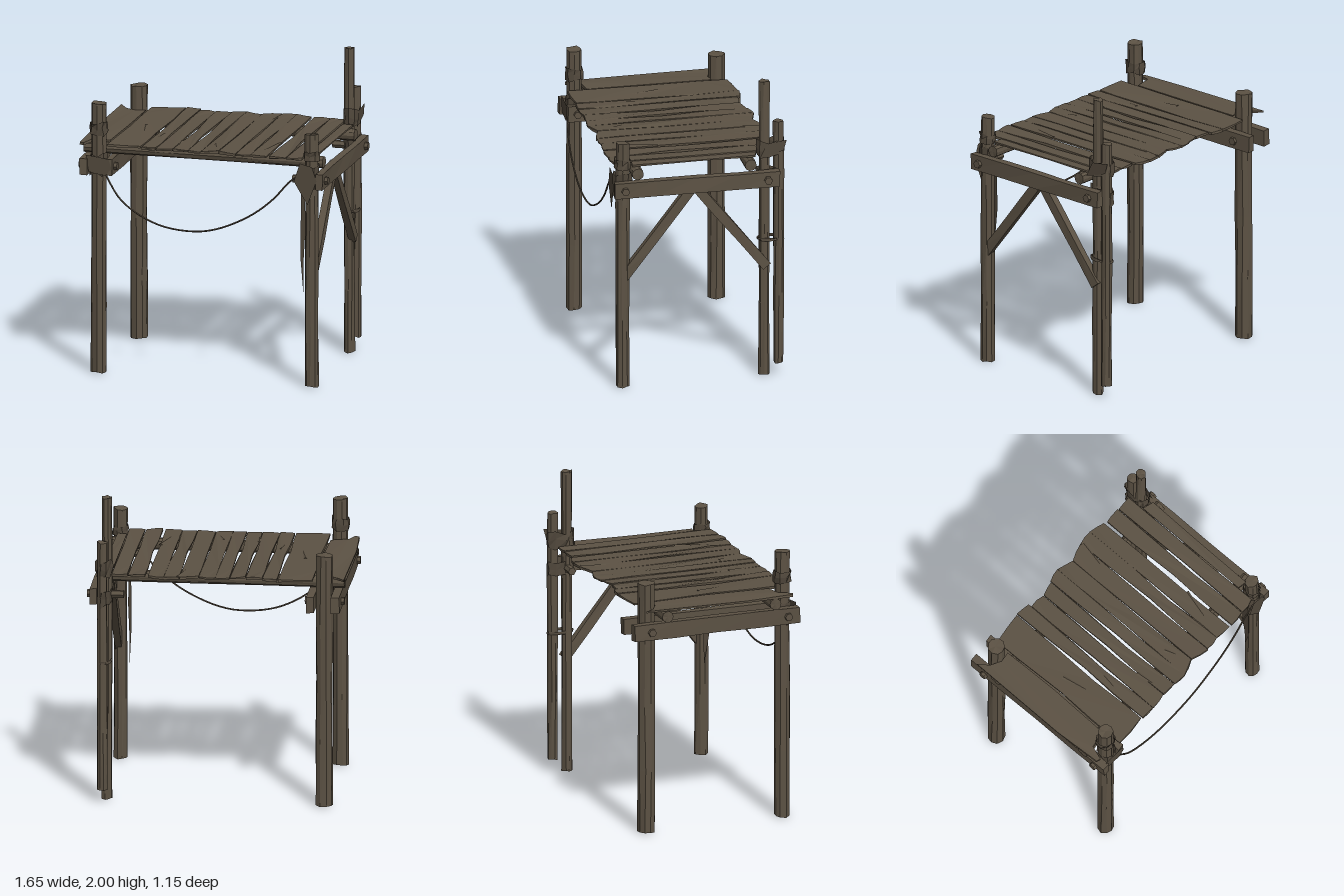
import * as THREE from 'three';

const wood = new THREE.MeshStandardMaterial({ color: 0x5c5244, flatShading: true });
const cloth = new THREE.MeshStandardMaterial({ color: 0x51483c, flatShading: true, side: THREE.DoubleSide });

// Repeatable noise in -1..1 that depends only on position, so shared corners stay joined
function noise(x, y, z, seed) {
  const r = (n) => Math.round(n * 1000);
  const s = Math.sin(r(x) * 12.9898 + r(y) * 78.233 + r(z) * 37.719 + seed * 91.7) * 43758.5453;
  return (s - Math.floor(s)) * 2 - 1;
}

// Roughen a geometry by moving its corners
function roughen(geo, ax, ay, az, seed) {
  const p = geo.attributes.position;
  for (let i = 0; i < p.count; i++) {
    const x = p.getX(i), y = p.getY(i), z = p.getZ(i);
    p.setXYZ(i, x + ax * noise(x, y, z, seed), y + ay * noise(x, y, z, seed + 1), z + az * noise(x, y, z, seed + 2));
  }
  geo.computeVertexNormals();
  return geo;
}

export function createModel() {
  const group = new THREE.Group();
  const add = (name, geo, x = 0, y = 0, z = 0, mat = wood) => {
    const m = new THREE.Mesh(geo, mat);
    m.name = name;
    m.position.set(x, y, z);
    group.add(m);
    return m;
  };

  // Rough upright posts: x, z, bottom, top, radius
  [
    ['frontRightPost', -0.69, 0.49, 0.01, 1.77, 0.049],
    ['backRightPost', -0.69, -0.435, 0.01, 1.66, 0.054],
    ['frontLeftPost', 0.715, 0.49, 0.01, 1.66, 0.043],
    ['backLeftPost', 0.70, -0.435, 0.01, 2.0, 0.034],
    ['backLeftSecondPost', 0.72, -0.525, 0.09, 1.73, 0.033],
  ].forEach(([name, x, z, y0, y1, r], i) => {
    const geo = new THREE.CylinderGeometry(r, r * 1.04, y1 - y0, 9, 4);
    add(name, roughen(geo, 0.004, 0.006, 0.004, i * 5 + 1), x, (y0 + y1) / 2, z);
  });

  // Round logs that carry the deck
  for (const z of [0.40, -0.335]) {
    const geo = new THREE.CylinderGeometry(0.038, 0.038, 1.58, 10, 3);
    geo.rotateZ(Math.PI / 2);
    add('deckLog', roughen(geo, 0.003, 0.002, 0.002, 31), -0.02, 1.458, z);
  }

  // Side beams clamped to the posts: x, back end, front end, width
  for (const [x, z0, z1, w] of [[-0.772, -0.555, 0.572, 0.052], [-0.612, -0.57, 0.55, 0.048], [0.78, -0.52, 0.555, 0.046]]) {
    const geo = new THREE.BoxGeometry(w, 0.105, z1 - z0, 1, 1, 4);
    add('sideBeam', roughen(geo, 0.003, 0.003, 0.005, 41), x, 1.363, (z0 + z1) / 2);
  }

  // Hexagonal bolts through beams and posts
  for (const z of [0.49, -0.44]) {
    for (const [x, l] of [[0.81, 0.03], [-0.805, 0.03], [-0.583, 0.03], [0.635, 0.09]]) {
      const geo = new THREE.CylinderGeometry(0.026, 0.026, l, 6);
      geo.rotateZ(Math.PI / 2);
      add('bolt', geo, x, 1.362, z);
    }
  }

  // Diagonal braces on the left side
  for (const [z0, z1] of [[0.465, 0.03], [-0.425, 0.02]]) {
    const dz = z1 - z0, dy = 0.56;
    const geo = new THREE.BoxGeometry(0.045, Math.hypot(dz, dy) + 0.06, 0.062, 1, 3, 1);
    const m = add('brace', roughen(geo, 0.003, 0.003, 0.003, 51), 0.725, 1.055, (z0 + z1) / 2);
    m.rotation.x = Math.atan2(dz, dy);
  }

  // Deck planks: outlines in x and z, made thin
  const plank = (points, i) => {
    const geo = new THREE.ExtrudeGeometry(new THREE.Shape(points.map(([x, z]) => new THREE.Vector2(x, -z))),
      { depth: 0.013, bevelEnabled: false });
    geo.rotateX(-Math.PI / 2);
    add('deckPlank', roughen(geo, 0.002, 0.005, 0.002, 60 + i), 0, 1.498, 0);
  };
  // Each row: left x, right x, back z at both edges, front z at both edges
  [
    [-0.62, -0.402, -0.49, -0.515, 0.55, 0.54],
    [-0.394, -0.302, -0.517, -0.505, 0.545, 0.55],
    [-0.298, -0.192, -0.485, -0.475, 0.55, 0.54],
    [-0.188, -0.092, -0.475, -0.50, 0.54, 0.545],
    [-0.088, 0.0, -0.505, -0.525, 0.545, 0.555],
    [0.0, 0.105, -0.525, -0.49, 0.555, 0.515],
    [0.108, 0.226, -0.49, -0.53, 0.515, 0.55],
    [0.23, 0.325, -0.53, -0.54, 0.545, 0.54],
    [0.325, 0.43, -0.54, -0.51, 0.54, 0.55],
    [0.45, 0.557, -0.50, -0.505, 0.555, 0.545],
    [0.563, 0.663, -0.50, -0.505, 0.548, 0.535],
  ].forEach(([a, b, ba, bb, fa, fb], i) => {
    const gap = 0.007 + 0.004 * noise(i, 2, 3, 7), mid = (a + b) / 2;
    plank([[a, ba], [mid, (ba + bb) / 2 - 0.004], [b, bb], [b, -0.2], [b - gap, 0.15], [b, 0.4], [b, fb],
      [mid, (fa + fb) / 2 + 0.005], [a, fa], [a, 0.3], [a + gap, 0.05], [a, -0.3]], i);
  });
  // End planks cut around the posts
  plank([[-0.82, -0.485], [-0.77, -0.42], [-0.7, -0.38], [-0.63, -0.39], [-0.626, 0], [-0.635, 0.42],
    [-0.75, 0.44], [-0.78, 0.53], [-0.81, 0.52], [-0.825, 0.2]], 21);
  plank([[0.668, -0.39], [0.74, -0.37], [0.735, 0], [0.727, 0.43], [0.668, 0.42]], 22);

  // Loose splinters lying on the deck
  for (const [x, z, a, l] of [[-0.5, 0.1, 0.2, 0.24], [-0.36, 0.27, -0.15, 0.2], [0.07, 0.43, 0.35, 0.18],
    [0.22, -0.42, -0.2, 0.2], [0.4, 0.3, -0.25, 0.22], [-0.18, 0.42, 0.1, 0.2]]) {
    const geo = new THREE.ConeGeometry(0.014, l, 4);
    geo.rotateX(Math.PI / 2);
    geo.scale(1, 0.4, 1);
    add('splinter', geo, x, 1.511, z).rotation.y = a;
  }

  // Sagging rope across the front
  const path = new THREE.CatmullRomCurve3([[-0.66, 1.38, 0.545], [-0.62, 1.3, 0.55], [-0.52, 1.15, 0.553],
    [-0.3, 1.02, 0.555], [-0.07, 0.985, 0.555], [0.1, 1.01, 0.555], [0.32, 1.11, 0.553], [0.47, 1.225, 0.55],
    [0.61, 1.375, 0.545], [0.7, 1.41, 0.54]].map((p) => new THREE.Vector3(...p)));
  add('saggingRope', new THREE.TubeGeometry(path, 36, 0.006, 5), 0, 0, 0, cloth);

  // Torn cloth bands around the posts: centre, height, half widths
  [
    [-0.69, 1.61, 0.49, 0.075, 0.06, 0.06],
    [-0.69, 1.37, 0.49, 0.13, 0.058, 0.065],
    [0.715, 1.52, 0.49, 0.06, 0.05, 0.055],
    [0.712, 1.38, 0.49, 0.14, 0.052, 0.065],
    [0.71, 1.55, -0.475, 0.1, 0.05, 0.095],
    [0.71, 1.36, -0.475, 0.1, 0.046, 0.093],
    [0.71, 0.935, -0.475, 0.02, 0.044, 0.09],
  ].forEach(([x, y, z, h, rx, rz], i) => {
    const geo = new THREE.CylinderGeometry(1, 1, h, 9, 2, true);
    geo.scale(rx, 1, rz);
    add('clothBand', roughen(geo, 0.006, h * 0.16, 0.006, 80 + i * 4), x, y, z, cloth);
  });

  // Loose cloth scraps as flat outlines
  const scrap = (name, points, x, y, z, turn = 0) => {
    const geo = new THREE.ShapeGeometry(new THREE.Shape(points.map((p) => new THREE.Vector2(...p))));
    add(name, geo, x, y, z, cloth).rotation.y = turn;
  };
  scrap('frontLeftScrap', [[-0.05, 0.1], [0.03, 0.08], [0.06, -0.01], [0.0, -0.17], [-0.09, -0.02]], 0.705, 1.38, 0.558);
  scrap('frontRightScrap', [[-0.07, 0.06], [0.08, 0.04], [0.1, -0.02], [0.06, -0.07], [-0.05, -0.05]], -0.69, 1.38, 0.558);
  scrap('backLeftScrap', [[-0.09, -0.06], [-0.04, 0.04], [0.09, 0.06], [0.07, -0.01], [-0.02, -0.04]], 0.762, 1.55, -0.48, Math.PI / 2);
  scrap('hangingStrip', [[-0.025, 0.37], [0.025, 0.36], [0.035, 0.05], [0.01, -0.15], [0.005, -0.36], [-0.03, -0.15], [-0.03, 0.1]],
    0.656, 0.98, 0.49, Math.PI / 2 - 0.2);

  return group;
}
